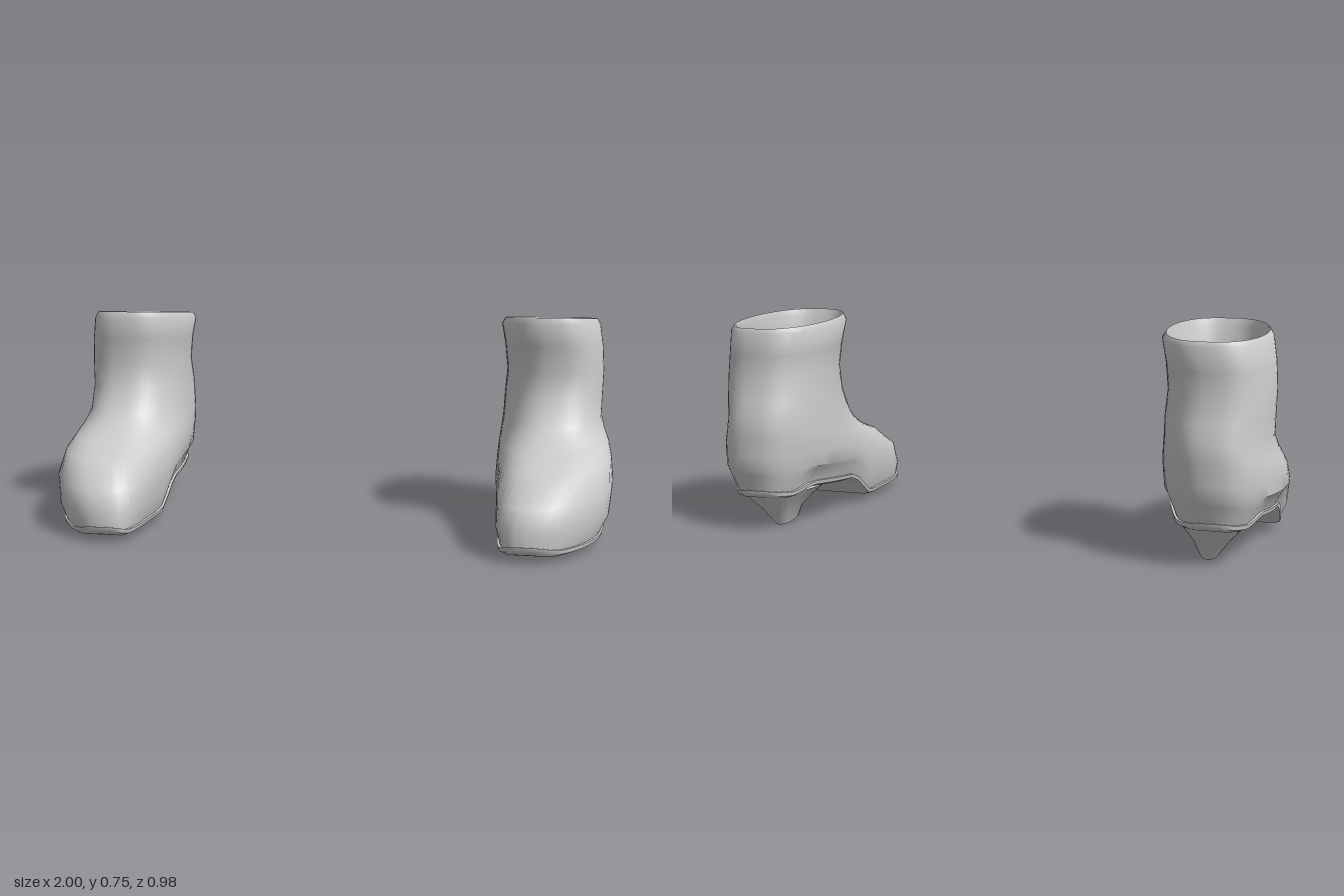
import * as THREE from 'three';
import { toCreasedNormals } from 'three/addons/utils/BufferGeometryUtils.js';

const SEG = 56;

// underside of the boot: [z, y] from heel to toe
const SOLE = [[-0.5, 0.14], [-0.43, 0.12], [-0.38, 0.117], [-0.3, 0.14], [-0.1, 0.12], [-0.02, 0.113],
  [0.05, 0.075], [0.08, 0.045], [0.13, 0.017], [0.45, 0.02], [0.5, 0.04]];

function soleY(z) {
  for (let i = 1; i < SOLE.length; i++) {
    const [z0, y0] = SOLE[i - 1], [z1, y1] = SOLE[i];
    if (z <= z1) return THREE.MathUtils.mapLinear(z, z0, z1, y0, y1);
  }
  return SOLE[SOLE.length - 1][1];
}

// rings: [front y, back y, front z, back z, inner x, outer x]
const SHAFT = [
  [0.752, 0.716, 0.05, -0.448, 0.605, 0.932],
  [0.728, 0.70, 0.06, -0.457, 0.592, 0.945],
  [0.65, 0.62, 0.046, -0.447, 0.606, 0.957],
  [0.56, 0.54, 0.035, -0.45, 0.615, 0.963],
  [0.47, 0.46, 0.045, -0.468, 0.608, 0.961],
  [0.38, 0.40, 0.105, -0.487, 0.605, 0.958],
  [0.34, 0.35, 0.15, -0.488, 0.60, 0.97],
  [0.30, 0.31, 0.225, -0.487, 0.595, 0.985],
  [0.26, 0.27, 0.335, -0.486, 0.592, 0.993],
  [0.175, 0.23, 0.458, -0.484, 0.59, 0.998],
];

// ring that follows the underside at height h
const onSole = (h, zf, zb, xi, xo) => [h, null, zf, zb, xi, xo];

const UPPER = [...SHAFT,
  onSole(0.075, 0.484, -0.474, 0.596, 0.988),
  onSole(0.022, 0.484, -0.455, 0.617, 0.962),
];

const WELT = [
  onSole(0.024, 0.48, -0.45, 0.625, 0.955),
  onSole(0.022, 0.49, -0.462, 0.608, 0.97),
  onSole(0.008, 0.488, -0.46, 0.612, 0.966),
  onSole(0.0, 0.472, -0.445, 0.632, 0.945),
  onSole(0.0, 0.472, -0.445, 0.785, 0.785),
];

// inner wall, offset from the shaft, closed by the insole
const LINING = [SHAFT[0],
  ...SHAFT.slice(1, 8).map(([yf, yb, zf, zb, xi, xo]) =>
    [yf, yb, zf - 0.02, zb + 0.02, xi + 0.018, xo - 0.018]),
  onSole(0.04, 0.25, -0.44, 0.645, 0.93),
  onSole(0.04, 0.25, -0.44, 0.785, 0.785),
];

const HEEL = [
  [0.118, 0.14, -0.05, -0.45, 0.66, 0.90],
  [0.095, 0.105, -0.11, -0.425, 0.685, 0.875],
  [0.062, 0.06, -0.19, -0.37, 0.715, 0.84],
  [0.015, 0.0, -0.2, -0.33, 0.74, 0.80],
  [0.015, 0.0, -0.2, -0.33, 0.77, 0.77],
];

// skin a stack of rings; side is +1 or -1 and mirrors the boot
function loft(rings, side, inward = false) {
  const pos = [], idx = [];
  for (const [yf, yb, zf, zb, xi, xo] of rings) {
    for (let j = 0; j < SEG; j++) {
      const a = j / SEG * Math.PI * 2, c = Math.cos(a), s = Math.sin(a);
      const z = (zf + zb) / 2 + c * (zf - zb) / 2;
      const y = yb === null ? soleY(z) + yf : THREE.MathUtils.lerp(yb, yf, (c + 1) / 2);
      const toe = -0.085 * Math.max(0, (z - 0.1) / 0.39) ** 2;
      const x = (xi + xo) / 2 + toe + Math.sign(s) * Math.abs(s) ** 0.75 * (xo - xi) / 2;
      pos.push(side * x, y, z);
    }
  }
  const flip = (side < 0) !== inward;
  for (let i = 0; i < rings.length - 1; i++) {
    for (let j = 0; j < SEG; j++) {
      const k = (j + 1) % SEG;
      const a = i * SEG + j, b = i * SEG + k, c = a + SEG, d = b + SEG;
      if (flip) idx.push(a, b, c, b, d, c);
      else idx.push(a, c, b, b, c, d);
    }
  }
  const g = new THREE.BufferGeometry();
  g.setAttribute('position', new THREE.Float32BufferAttribute(pos, 3));
  g.setIndex(idx);
  return toCreasedNormals(g, 0.8);
}

export function createModel() {
  const model = new THREE.Group();
  model.name = 'ankleBoots';
  const leather = new THREE.MeshStandardMaterial({ color: 0xcccccc, side: THREE.DoubleSide });
  leather.name = 'pale grey leather';

  for (const side of [1, -1]) {
    const boot = new THREE.Group();
    boot.name = side > 0 ? 'leftBoot' : 'rightBoot';
    const add = (name, rings, inward) => {
      const mesh = new THREE.Mesh(loft(rings, side, inward), leather);
      mesh.name = name;
      boot.add(mesh);
    };
    add('upper', UPPER);
    add('lining', LINING, true);
    add('sole', WELT);
    add('heel', HEEL);
    model.add(boot);
  }
  return model;
}
